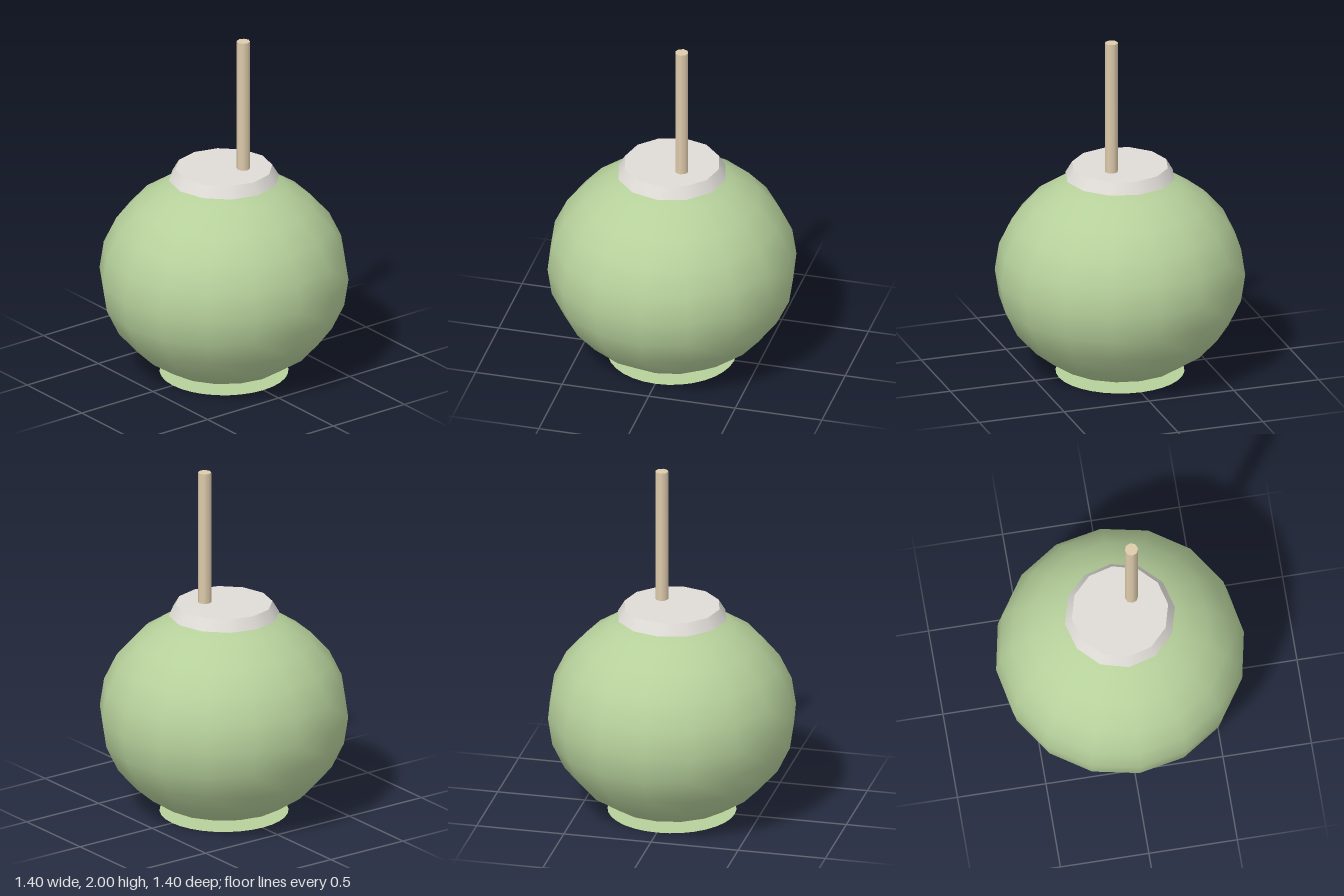
import * as THREE from 'three';

export function createModel() {
  const group = new THREE.Group();
  const mat = (name, color, side = THREE.FrontSide) => {
    const m = new THREE.MeshStandardMaterial({ color, side });
    m.name = name;
    return m;
  };
  const green = mat('soft green', 0xb6d09b, THREE.DoubleSide);
  const grey = mat('warm light grey', 0xdfdcd7);
  const wood = mat('pale wood', 0xdecbac);

  const add = (name, geometry, material, x, y, z) => {
    const mesh = new THREE.Mesh(geometry, material);
    mesh.name = name;
    mesh.position.set(x, y, z);
    group.add(mesh);
    return mesh;
  };

  // Squashed round body, cut off one ring short of each pole
  const step = Math.PI / 12;
  const bodyGeometry = new THREE.SphereGeometry(0.7, 16, 10, 0, Math.PI * 2, step, Math.PI - 2 * step);
  bodyGeometry.scale(1, 0.605 / 0.7, 1);
  add('body', bodyGeometry, green, 0, 0.587, 0);

  // Flat round foot under the body
  const foot = new THREE.CircleGeometry(0.36, 32);
  foot.rotateX(-Math.PI / 2);
  add('foot', foot, green, 0, 0, 0);

  // Tapered lid
  add('lid', new THREE.CylinderGeometry(0.272, 0.31, 0.065, 12), grey, 0, 1.1975, 0);

  // Off-centre stick rising from the lid
  add('stick', new THREE.CylinderGeometry(0.0375, 0.0375, 0.8, 8), wood, 0.077, 1.6, 0.077);

  return group;
}
